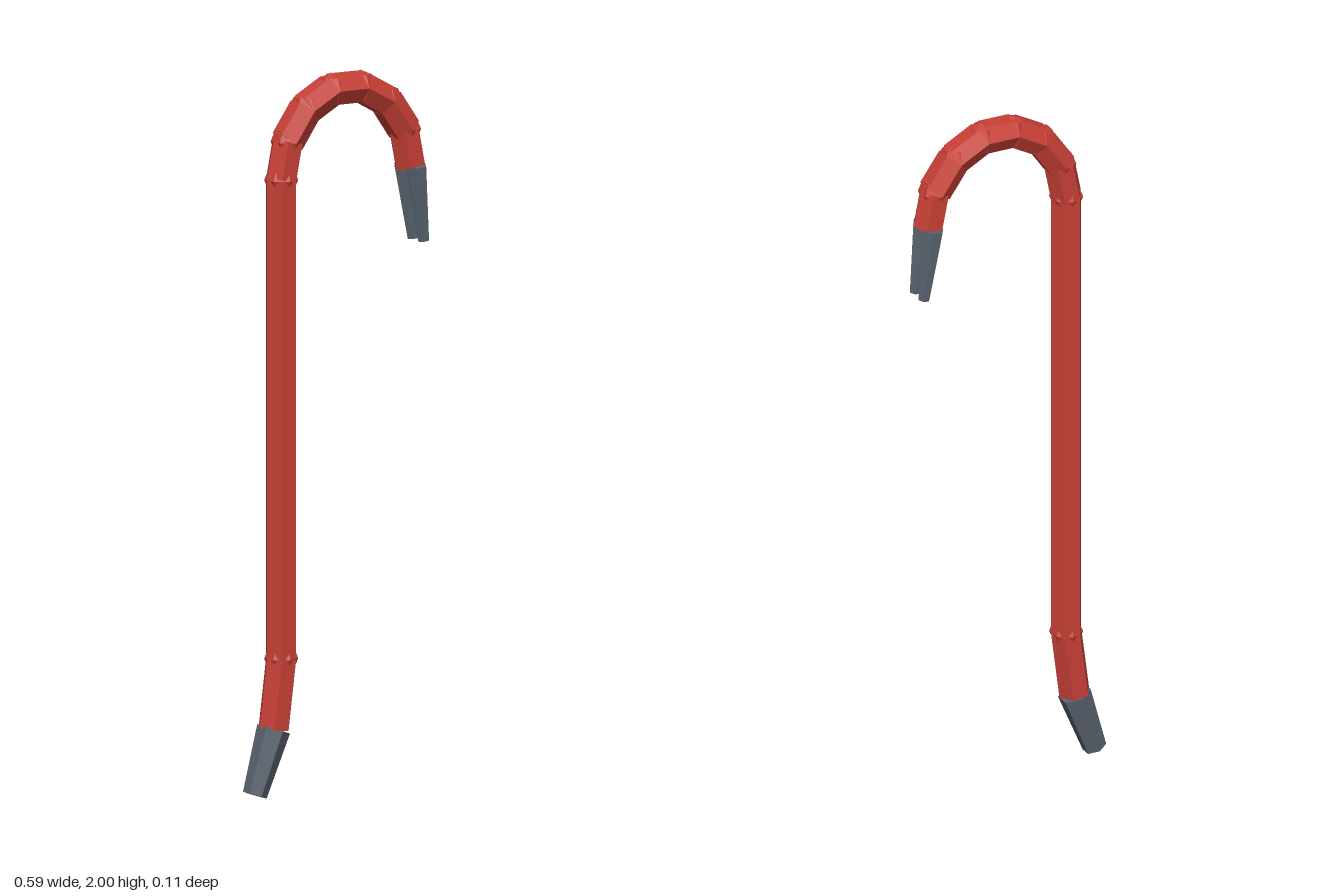
import * as THREE from 'three';

const red = new THREE.MeshStandardMaterial({ color: 0xc84036, flatShading: true });
red.name = 'redPaint';
const steel = new THREE.MeshStandardMaterial({ color: 0x5a6470, flatShading: true });
steel.name = 'bareSteel';

const R = 0.047;
const v = (x, y, z = 0) => new THREE.Vector3(x, y, z);

// Six-sided bar from a (bottom) to b (top); edgeOut turns an edge, not a flat, to the sides
function hexBar(name, a, b, rA, rB, material, edgeOut) {
  const dir = b.clone().sub(a);
  const geometry = new THREE.CylinderGeometry(rB, rA, dir.length(), 6);
  if (edgeOut) geometry.rotateY(Math.PI / 6);
  const mesh = new THREE.Mesh(geometry, material);
  mesh.name = name;
  mesh.position.copy(a).lerp(b, 0.5);
  mesh.quaternion.setFromUnitVectors(v(0, 1, 0), dir.normalize());
  return mesh;
}

// Faceted knuckle filling the bend between two bars
function joint(p) {
  const geometry = new THREE.SphereGeometry(R, 6, 4).rotateY(Math.PI / 6);
  const mesh = new THREE.Mesh(geometry, red);
  mesh.name = 'joint';
  mesh.position.copy(p);
  return mesh;
}

export function createModel() {
  const model = new THREE.Group();
  model.name = 'pryBar';

  // Straight shaft and the short bent neck below it
  const neckEnd = v(-0.203, 0.19);
  const shaftBase = v(-0.178, 0.385);
  const shaftTop = v(-0.178, 1.718);
  model.add(
    hexBar('shaft', shaftBase, shaftTop, 0.046, 0.046, red, true),
    hexBar('neck', neckEnd, shaftBase, 0.046, 0.046, red, true),
    joint(shaftBase),
  );

  // Hook: seven bars along a half ellipse
  const hook = new THREE.Group();
  hook.name = 'hook';
  const count = 7;
  const points = [];
  for (let i = 0; i <= count; i++) {
    const t = Math.PI * i / count;
    points.push(v(0.035 - 0.213 * Math.cos(t), 1.718 + 0.243 * Math.sin(t)));
  }
  for (let i = 0; i < count; i++) {
    const ends = [points[i], points[i + 1]].sort((p, q) => p.y - q.y);
    const outer = i === 0 || i === count - 1;
    const r = outer ? 0.046 : R;
    hook.add(hexBar('hookSegment', ends[0], ends[1], r, r, red, outer));
    hook.add(joint(points[i]));
  }
  model.add(hook);

  // Tapered chisel foot
  model.add(hexBar('chiselTip', v(-0.265, 0.011), neckEnd, 0.034, R, steel, false));

  // Two tapered claw prongs
  for (const s of [-1, 1]) {
    model.add(hexBar('clawProng', v(0.274, 1.512, s * 0.026), v(0.247, 1.722, s * 0.03),
      0.017, 0.031, steel, true));
  }
  return model;
}
